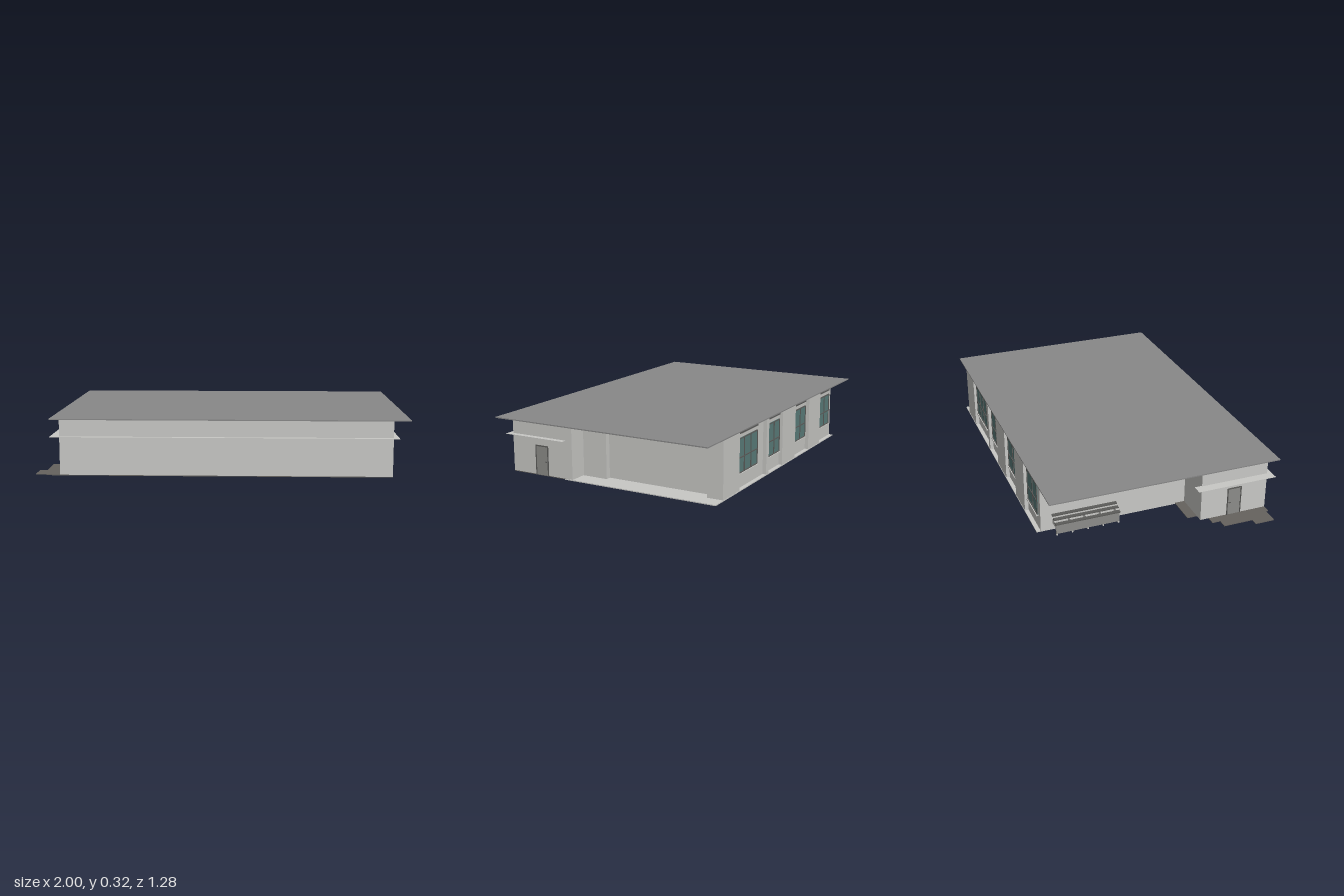
import * as THREE from 'three';

const mat = (name, color) => {
  const m = new THREE.MeshStandardMaterial({ color });
  m.name = name;
  return m;
};

export function createModel() {
  const root = new THREE.Group();
  root.name = 'building';
  const wall = mat('wall grey', 0xc8c8c5);
  const roofGrey = mat('roof grey', 0x888888);
  const paving = mat('paving brown grey', 0x65625e);
  const glass = mat('window teal', 0x5a7c7a);
  const frame = mat('frame dark grey', 0x5c5c5a);
  const doorGrey = mat('door grey', 0x8c8c89);

  // Box given by its limits on each axis
  const box = (name, m, x0, x1, y0, y1, z0, z1, parent = root) => {
    const mesh = new THREE.Mesh(new THREE.BoxGeometry(x1 - x0, y1 - y0, z1 - z0), m);
    mesh.position.set((x0 + x1) / 2, (y0 + y1) / 2, (z0 + z1) / 2);
    mesh.name = name;
    parent.add(mesh);
    return mesh;
  };

  // Floor slab and paving
  box('floorSlab', wall, -0.66, 0.913, 0, 0.005, -0.638, 0.26);
  box('wingPaving', paving, -0.91, 0.915, 0.003, 0.007, 0.26, 0.595);
  box('sidePaving', paving, -0.96, -0.86, 0.003, 0.007, 0.305, 0.58);
  box('sidePavingEnd', paving, -1, -0.96, 0.003, 0.007, 0.47, 0.58);
  box('rearPaving', paving, -0.82, -0.66, 0.003, 0.007, 0.155, 0.26);

  // Roof plate
  box('roof', roofGrey, -0.91, 1, 0.311, 0.317, -0.64, 0.64);

  // Front wing, main hall and corner pier
  const top = 0.311;
  box('frontWing', wall, -0.865, 0.915, 0.007, top, 0.21, 0.595);
  box('mainHall', wall, -0.66, 0.78, 0.005, top, -0.615, 0.21);
  box('wallReturn', wall, 0.78, 0.81, 0.005, top, 0.065, 0.21);
  box('cornerPier', wall, 0.65, 0.83, 0.005, top, -0.636, -0.545);

  // Piers between the window bays
  for (const [a, b] of [[0.295, 0.325], [-0.065, 0.115], [-0.44, -0.265]])
    box('pier', wall, a, b, 0.005, top, -0.636, -0.61);

  // Thin canopy around the wing
  box('canopyFront', wall, -0.915, 0.945, 0.214, 0.216, 0.59, 0.62);
  box('canopyLeft', wall, 0.91, 0.945, 0.214, 0.216, 0.25, 0.6);
  box('canopyRight', wall, -0.915, -0.86, 0.214, 0.216, 0.17, 0.6);

  // Rear windows: x limits and the positions of the upright bars
  const y0 = 0.085, y1 = 0.27, zw = -0.615;
  const windows = [
    [0.405, 0.645, [0.33, 0.66]],
    [0.12, 0.285, [0.45]],
    [-0.25, -0.075, [0.45]],
    [-0.625, -0.45, [0.45]],
  ];
  for (const [x0, x1, bars] of windows) {
    const g = new THREE.Group();
    g.name = 'window';
    root.add(g);
    const w = x1 - x0;
    box('pane', glass, x0, x1, y0, y1, zw - 0.003, zw, g);
    for (const y of [y0, 0.165, y1 - 0.005])
      box('frameRail', frame, x0, x1, y, y + 0.005, zw - 0.007, zw, g);
    for (const t of [0, ...bars, 1]) {
      const x = x0 + 0.0025 + (w - 0.005) * t;
      box('frameBar', frame, x - 0.0025, x + 0.0025, y0, y1, zw - 0.007, zw, g);
    }
    box('sill', wall, x0, x1, y0 - 0.008, y0, zw - 0.012, zw, g);
    box('header', frame, x0, x1, 0.293, top, zw - 0.008, zw, g);
  }

  // Doors at both ends of the wing
  for (const [x, s] of [[0.915, 1], [-0.865, -1]]) {
    const g = new THREE.Group();
    g.name = 'door';
    g.position.x = x;
    g.scale.x = 1;
    root.add(g);
    const plate = (name, m, d, ya, yb, za, zb) =>
      box(name, m, Math.min(0, s * d), Math.max(0, s * d), ya, yb, za, zb, g);
    plate('doorLeaf', doorGrey, 0.002, 0.006, 0.165, 0.368, 0.44);
    plate('doorHead', frame, 0.005, 0.164, 0.17, 0.363, 0.445);
    plate('doorJamb', frame, 0.005, 0.006, 0.165, 0.363, 0.368);
    plate('doorJamb', frame, 0.005, 0.006, 0.165, 0.44, 0.445);
    plate('doorHandle', frame, 0.008, 0.08, 0.084, 0.372, 0.383);
  }

  // Stepped bench along the right side wall
  const bench = new THREE.Group();
  bench.name = 'bench';
  root.add(bench);
  box('benchPanel', doorGrey, -0.732, -0.728, 0.015, 0.068, -0.55, -0.2, bench);
  [[-0.735, 0.068], [-0.707, 0.08], [-0.683, 0.092]].forEach(([x, y]) =>
    box('benchBoard', frame, x, x + 0.02, y, y + 0.006, -0.555, -0.195, bench));
  for (let i = 0; i < 5; i++) {
    const z = -0.55 + i * 0.0855;
    box('benchBracket', wall, -0.728, -0.66, 0.04, 0.068, z, z + 0.008, bench);
    box('benchLeg', wall, -0.728, -0.715, 0.002, 0.04, z, z + 0.008, bench);
  }
  return root;
}
